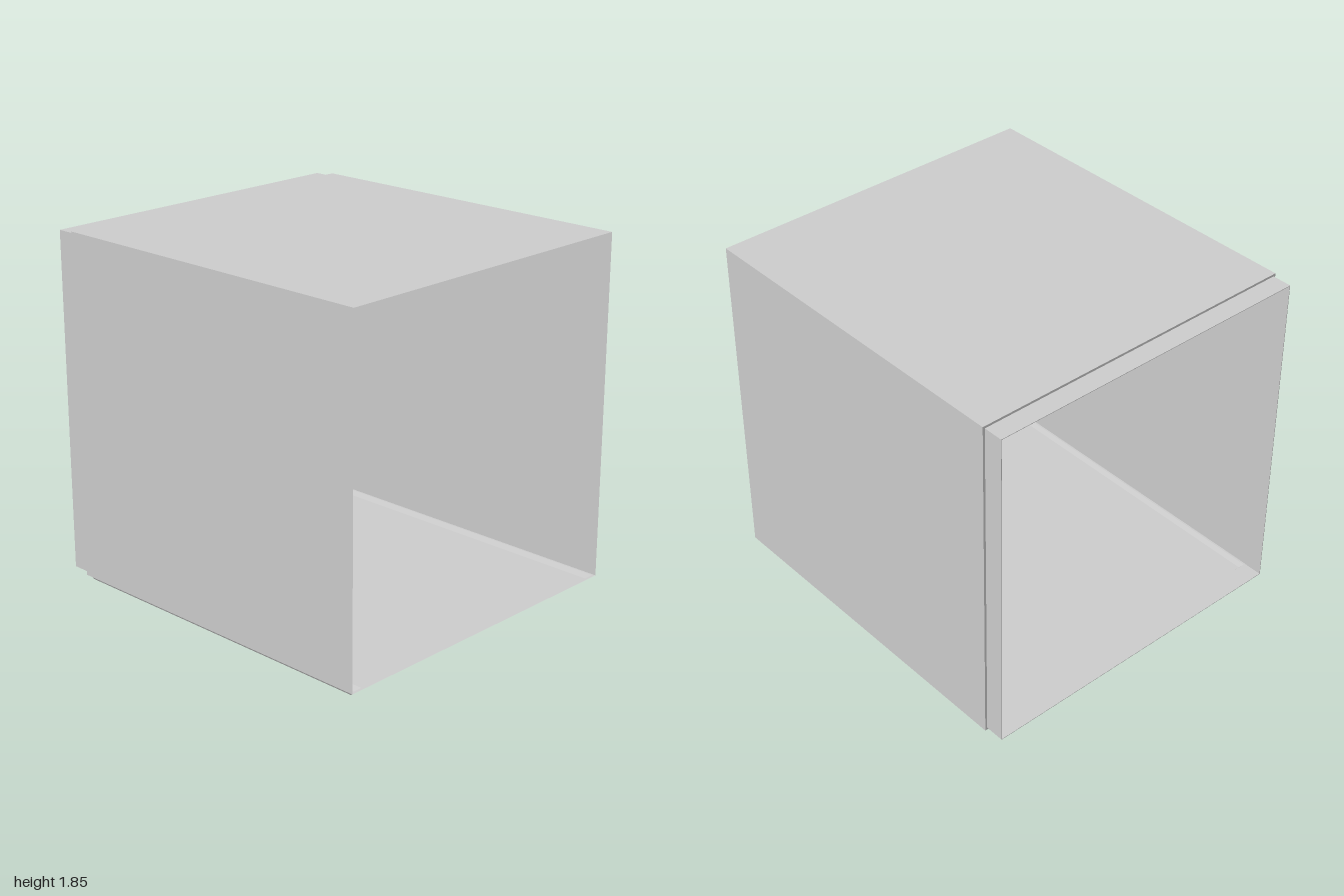
import * as THREE from 'three';

const MID = 0.936;   // height of the tube axis
const HALF = 0.912;  // half width of the square body
const NECK = 0.9;    // half width of the inset collar
const STEP_X = -0.895;

const material = new THREE.MeshStandardMaterial({ color: 0xcccccc, side: THREE.DoubleSide });

// flat-shaded sheet from a list of four-cornered faces
function quads(name, faces) {
  const pos = [];
  for (const [a, b, c, d] of faces) pos.push(...a, ...b, ...c, ...a, ...c, ...d);
  const geo = new THREE.BufferGeometry();
  geo.setAttribute('position', new THREE.Float32BufferAttribute(pos, 3));
  geo.computeVertexNormals();
  const mesh = new THREE.Mesh(geo, material);
  mesh.name = name;
  return mesh;
}

// square ring of corners around the x axis, starting at the bottom front
function ring(x, h) {
  return [[1, -1], [1, 1], [-1, 1], [-1, -1]].map(([z, y]) => [x, MID + y * h, z * h]);
}

// sides joining successive rings; the last side is the floor
function loft(sections, sides = 4) {
  const faces = [];
  for (let s = 0; s + 1 < sections.length; s++) {
    const a = ring(...sections[s]), b = ring(...sections[s + 1]);
    for (let i = 0; i < sides; i++) {
      const j = (i + 1) % 4;
      faces.push([a[i], a[j], b[j], b[i]]);
    }
  }
  return faces;
}

// rectangle of corners in a horizontal plane
function rect(x0, x1, z0, z1, y) {
  return [[x0, y, z0], [x1, y, z0], [x1, y, z1], [x0, y, z1]];
}

export function createModel() {
  const group = new THREE.Group();
  group.name = 'squareDuct';

  // front, top and back panels of the body
  group.add(quads('bodyPanels', loft([[1, HALF], [STEP_X, HALF]], 3)));

  // inward step, collar and its thin folded hem
  group.add(quads('collar', loft([
    [STEP_X, HALF], [STEP_X, NECK], [-1, NECK], [-1, NECK - 0.003], [STEP_X, NECK - 0.003],
  ])));

  // floor panel with two slots, each opening into a pressed runner
  const y = MID - HALF;
  const floor = new THREE.Shape([
    new THREE.Vector2(STEP_X, -HALF), new THREE.Vector2(1, -HALF),
    new THREE.Vector2(1, HALF), new THREE.Vector2(STEP_X, HALF),
  ]);
  for (const side of [1, -1]) {
    const zs = (a, b) => (side > 0 ? [a, b] : [-b, -a]);
    const top = rect(-0.885, 0.985, ...zs(0.837, 0.902), y);
    const bottom = rect(-0.865, 0.967, ...zs(0.853, 0.887), 0);
    floor.holes.push(new THREE.Path(top.map(p => new THREE.Vector2(p[0], -p[2]))));
    const faces = top.map((p, i) => {
      const j = (i + 1) % 4;
      return [p, top[j], bottom[j], bottom[i]];
    });
    faces.push(bottom);
    group.add(quads(side > 0 ? 'frontRunner' : 'backRunner', faces));
  }
  const floorMesh = new THREE.Mesh(new THREE.ShapeGeometry(floor).rotateX(-Math.PI / 2), material);
  floorMesh.position.y = y;
  floorMesh.name = 'floorPanel';
  group.add(floorMesh);

  return group;
}
